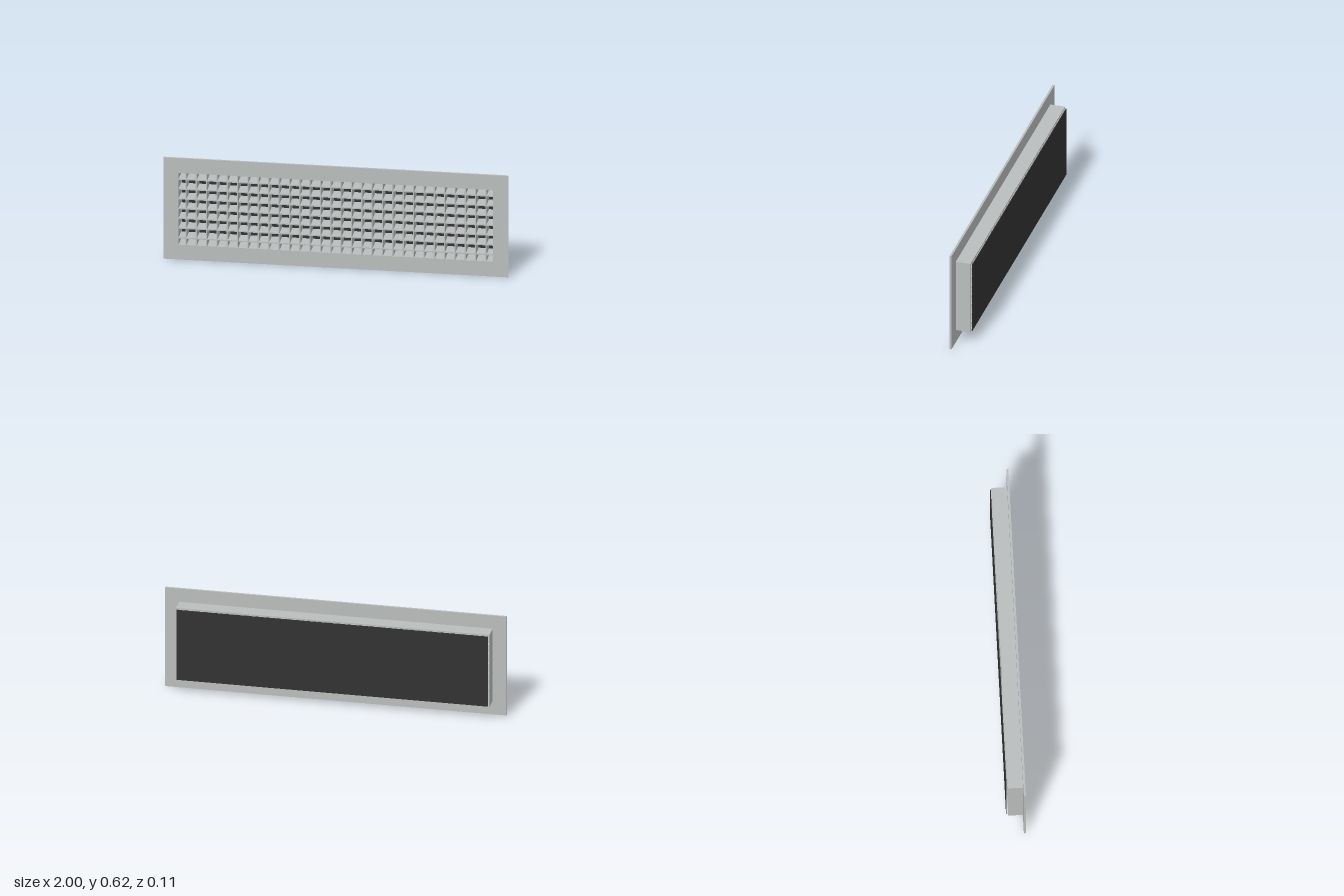
import * as THREE from 'three';

export function createModel() {
  const model = new THREE.Group();
  model.name = 'ventGrille';

  const metal = new THREE.MeshStandardMaterial({ color: 0xbabebd });
  metal.name = 'greyMetal';
  const dark = new THREE.MeshStandardMaterial({ color: 0x333333 });
  dark.name = 'darkFilter';

  const height = 0.622, midY = height / 2;
  const openW = 1.824, openH = 0.44; // clear opening
  const pitch = 0.06, bar = 0.007;

  const rect = (C, w, h) => {
    const p = new C();
    p.moveTo(-w / 2, -h / 2);
    p.lineTo(w / 2, -h / 2);
    p.lineTo(w / 2, h / 2);
    p.lineTo(-w / 2, h / 2);
    p.closePath();
    return p;
  };

  // Rectangular ring with the clear opening, from z0 to z1
  const addRing = (name, w, h, z0, z1) => {
    const shape = rect(THREE.Shape, w, h);
    shape.holes.push(rect(THREE.Path, openW, openH));
    const geo = new THREE.ExtrudeGeometry(shape, { depth: z1 - z0, bevelEnabled: false });
    const mesh = new THREE.Mesh(geo, metal);
    mesh.name = name;
    mesh.position.set(0, midY, z0);
    model.add(mesh);
  };

  const addBox = (parent, name, mat, size, pos) => {
    const mesh = new THREE.Mesh(new THREE.BoxGeometry(...size), mat);
    mesh.name = name;
    mesh.position.set(...pos);
    parent.add(mesh);
  };

  // Front flange and the duct collar behind it
  addRing('frontFlange', 2, height, 0.043, 0.055);
  addRing('ductCollar', 1.836, 0.456, -0.045, 0.043);

  // Crossing blades form an egg-crate core
  const core = new THREE.Group();
  core.name = 'gridCore';
  model.add(core);
  const z0 = -0.044, z1 = 0.052, depth = z1 - z0, midZ = (z0 + z1) / 2;
  for (let i = 0; i < 30; i++) {
    addBox(core, 'verticalBlade', metal, [bar, openH, depth], [(i - 14.5) * pitch, midY, midZ]);
  }
  for (let j = -3; j <= 3; j++) {
    addBox(core, 'horizontalBlade', metal, [openW, bar, depth - 0.001], [0, midY + j * pitch, midZ]);
  }

  // Dark sheet standing just behind the collar
  addBox(model, 'rearFilter', dark, [openW, openH, 0.004], [0, midY, -0.053]);

  return model;
}
